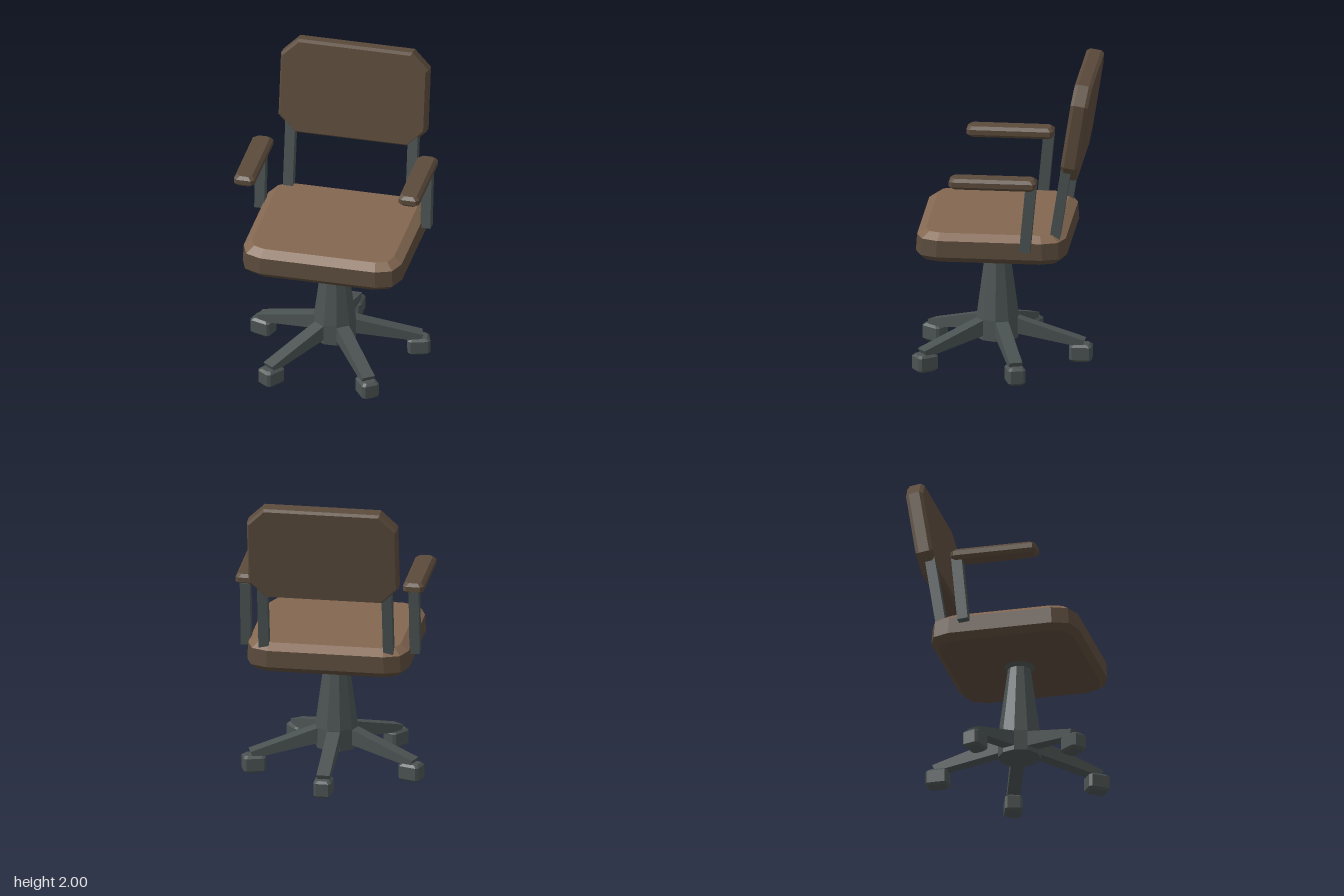
import * as THREE from 'three';

const mat = (name, color) => {
  const m = new THREE.MeshStandardMaterial({ color });
  m.name = name;
  return m;
};

// Corner styles as fractions of the corner cut: one chamfer, or two facets
const CHAMFER = [[0, 1], [1, 0]];
const ROUNDED = [[0, 1], [0.28, 0.28], [1, 0]];

// Stack of cut-corner rectangles, levels = [y, halfX, halfZ, cut], bottom to top
function slab(levels, corner) {
  const pos = [], idx = [];
  const n = corner.length * 4;
  for (const [y, hx, hz, cut] of levels) {
    for (const [sx, sz, flip] of [[1, 1, 0], [-1, 1, 1], [-1, -1, 0], [1, -1, 1]]) {
      const pts = flip ? [...corner].reverse() : corner;
      for (const [a, b] of pts) pos.push(sx * (hx - a * cut), y, sz * (hz - b * cut));
    }
  }
  for (let l = 0; l < levels.length - 1; l++) {
    for (let i = 0; i < n; i++) {
      const j = (i + 1) % n, b = l * n, t = b + n;
      idx.push(b + i, t + i, t + j, b + i, t + j, b + j);
    }
  }
  const top = (levels.length - 1) * n;
  for (let i = 1; i < n - 1; i++) idx.push(0, i, i + 1, top, top + i + 1, top + i);
  const g = new THREE.BufferGeometry();
  g.setAttribute('position', new THREE.Float32BufferAttribute(pos, 3));
  g.setIndex(idx);
  const flat = g.toNonIndexed();
  flat.computeVertexNormals();
  return flat;
}

// Box bevelled on every edge
function bevelBox(hx, hy, hz, b) {
  return slab([
    [-hy, hx - b, hz - b, b], [-hy + b, hx, hz, b],
    [hy - b, hx, hz, b], [hy, hx - b, hz - b, b],
  ], CHAMFER);
}

export function createModel() {
  const chair = new THREE.Group();
  chair.name = 'officeChair';
  const tan = mat('tanCushion', 0x836751);
  const brown = mat('darkBrown', 0x5a4a3b);
  const metal = mat('greyMetal', 0x4a5251);
  metal.flatShading = true;
  const CZ = 0.07; // seat and base centre

  const add = (parent, name, geo, material, x = 0, y = 0, z = 0) => {
    const m = new THREE.Mesh(geo, material);
    m.name = name;
    m.position.set(x, y, z);
    parent.add(m);
    return m;
  };

  // Seat: dark shell with lighter bevelled top
  add(chair, 'seatShell', slab([
    [0.80, 0.49, 0.45, 0.125], [0.84, 0.53, 0.49, 0.145], [0.95, 0.525, 0.483, 0.145],
  ], ROUNDED), brown, 0, 0, CZ);
  add(chair, 'seatTop', slab([
    [0.95, 0.525, 0.483, 0.145], [0.99, 0.47, 0.425, 0.1],
  ], ROUNDED), tan, 0, 0, CZ);

  // Reclined backrest
  const back = add(chair, 'backrest', slab([
    [-0.057, 0.478, 0.313, 0.105], [-0.035, 0.49, 0.325, 0.11],
    [0.035, 0.49, 0.325, 0.11], [0.057, 0.475, 0.31, 0.105],
  ], CHAMFER), brown, 0, 1.67, -0.478);
  back.rotation.x = Math.PI / 2 - 0.155;

  // Slanted post between two heights
  const post = (name, x, y0, z0, y1, z1, w, d) => {
    const len = Math.hypot(y1 - y0, z1 - z0);
    const p = add(chair, name, new THREE.BoxGeometry(w, len, d), metal, x, (y0 + y1) / 2, (z0 + z1) / 2);
    p.rotation.x = Math.atan2(z1 - z0, y1 - y0);
  };

  for (const [s, side] of [[1, 'left'], [-1, 'right']]) {
    post(side + 'BackPost', s * 0.407, 0.94, -0.343, 1.46, -0.424, 0.066, 0.066);
    post(side + 'ArmPost', s * 0.552, 0.908, -0.165, 1.345, -0.206, 0.066, 0.07);
    add(chair, side + 'Armrest', bevelBox(0.068, 0.036, 0.283, 0.02), brown, s * 0.547, 1.364, 0.042);
  }

  // Ten-sided tapering column with a flared top and straight hub
  const base = new THREE.Group();
  base.name = 'base';
  base.position.z = CZ;
  chair.add(base);
  const column = (name, rTop, rBottom, y0, y1) => {
    const c = add(base, name, new THREE.CylinderGeometry(rTop, rBottom, y1 - y0, 10), metal, 0, (y0 + y1) / 2, 0);
    c.rotation.y = Math.PI / 10;
  };
  column('columnFlange', 0.1, 0.075, 0.78, 0.802);
  column('column', 0.075, 0.14, 0.295, 0.78);
  column('hub', 0.14, 0.14, 0.155, 0.295);

  // Five tapering legs with block casters
  const profile = new THREE.Shape([[0.06, 0.2], [0.55, 0.105], [0.57, 0.15], [0.06, 0.312]]
    .map(([r, y]) => new THREE.Vector2(r, y)));
  const legGeo = new THREE.ExtrudeGeometry(profile, { depth: 0.086, bevelEnabled: false });
  legGeo.translate(0, 0, -0.043);
  const casterGeo = bevelBox(0.073, 0.058, 0.058, 0.016);
  for (let i = 0; i < 5; i++) {
    const leg = new THREE.Group();
    leg.name = 'leg' + (i + 1);
    leg.rotation.y = Math.PI / 2 + i * Math.PI * 2 / 5;
    base.add(leg);
    add(leg, 'legArm', legGeo, metal);
    add(leg, 'caster', casterGeo, metal, 0.542, 0.064, 0);
  }

  // Rest the casters on the floor
  base.position.y = -0.006;
  return chair;
}
